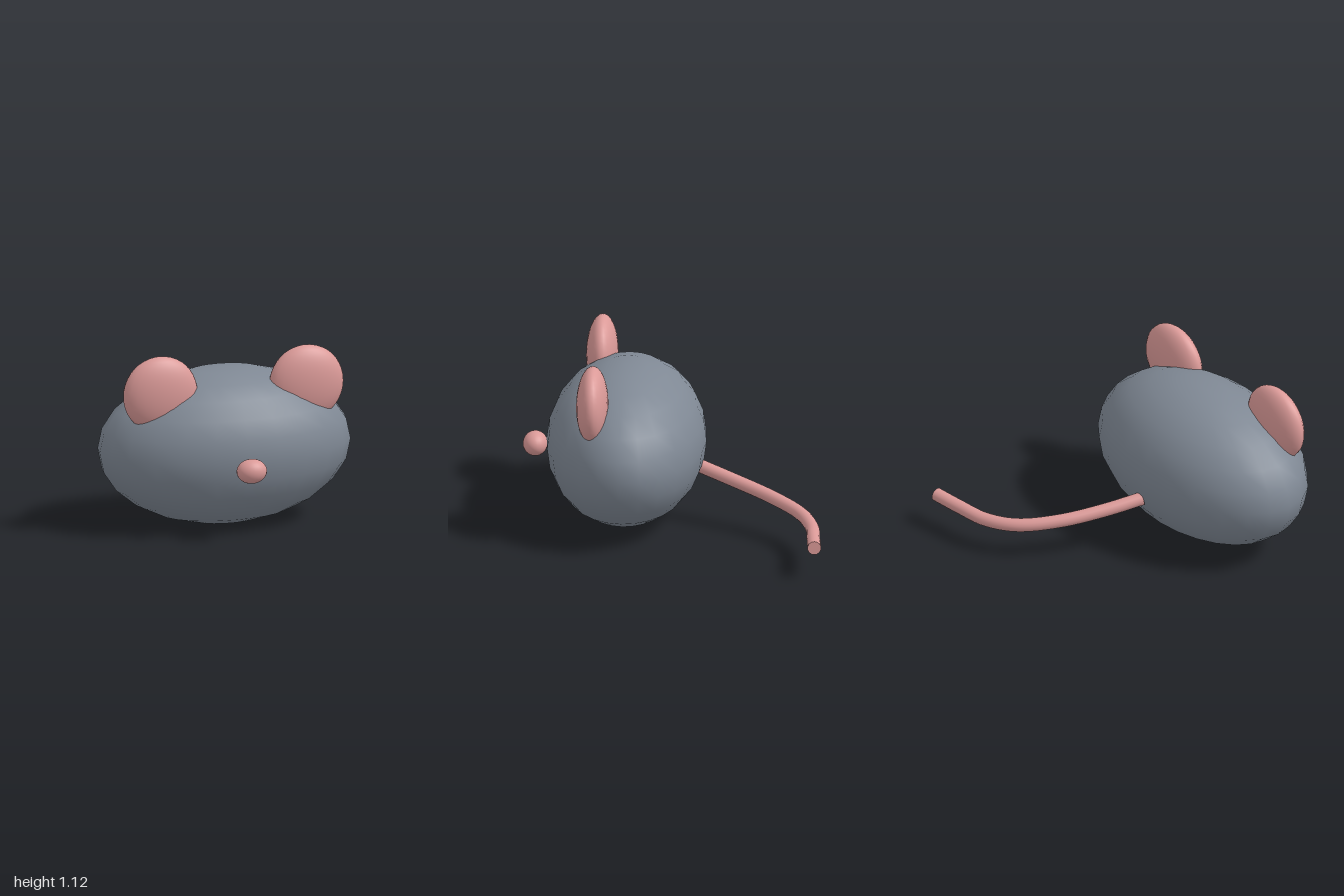
import * as THREE from 'three';

export function createModel() {
  const group = new THREE.Group();
  const grey = new THREE.MeshStandardMaterial({ color: 0x7f8894 });
  grey.name = 'greyFur';
  const pink = new THREE.MeshStandardMaterial({ color: 0xdb9a98 });
  pink.name = 'pinkSkin';

  // Body, ears and nose share one slightly turned frame
  const torso = new THREE.Group();
  torso.name = 'torso';
  torso.position.set(-0.203, 0.49, 0.255);
  torso.rotation.y = -THREE.MathUtils.degToRad(6);
  group.add(torso);

  function ellipsoid(name, material, radii, position, rings) {
    const geometry = new THREE.SphereGeometry(1, 24, rings);
    geometry.scale(...radii);
    const mesh = new THREE.Mesh(geometry, material);
    mesh.name = name;
    mesh.position.set(...position);
    torso.add(mesh);
  }

  ellipsoid('body', grey, [0.8, 0.49, 0.49], [0, 0, 0], 12);
  ellipsoid('nose', pink, [0.095, 0.076, 0.076], [-0.007, -0.04, 0.56], 16);
  for (const [name, side] of [['leftEar', 1], ['rightEar', -1]]) {
    ellipsoid(name, pink, [0.238, 0.238, 0.098], [side * 0.47, 0.39, 0.18], 20);
  }

  // Curved tail with a flat disc at each end
  const radius = 0.042;
  const path = new THREE.CatmullRomCurve3([
    [-0.11, 0.345, -0.19], [0.02, 0.297, -0.39], [0.19, 0.249, -0.61],
    [0.39, 0.213, -0.78], [0.6, 0.197, -0.845], [0.8, 0.198, -0.847], [0.997, 0.205, -0.845],
  ].map((p) => new THREE.Vector3(...p)));
  const tail = new THREE.Group();
  tail.name = 'tail';
  const tube = new THREE.Mesh(new THREE.TubeGeometry(path, 48, radius, 16), pink);
  tube.name = 'tailTube';
  tail.add(tube);
  for (const [name, t, sign] of [['tailBase', 0, -1], ['tailTip', 1, 1]]) {
    const cap = new THREE.Mesh(new THREE.CircleGeometry(radius, 16), pink);
    cap.name = name;
    cap.position.copy(path.getPoint(t));
    const outward = path.getTangent(t).multiplyScalar(sign);
    cap.quaternion.setFromUnitVectors(new THREE.Vector3(0, 0, 1), outward);
    tail.add(cap);
  }
  group.add(tail);

  return group;
}
